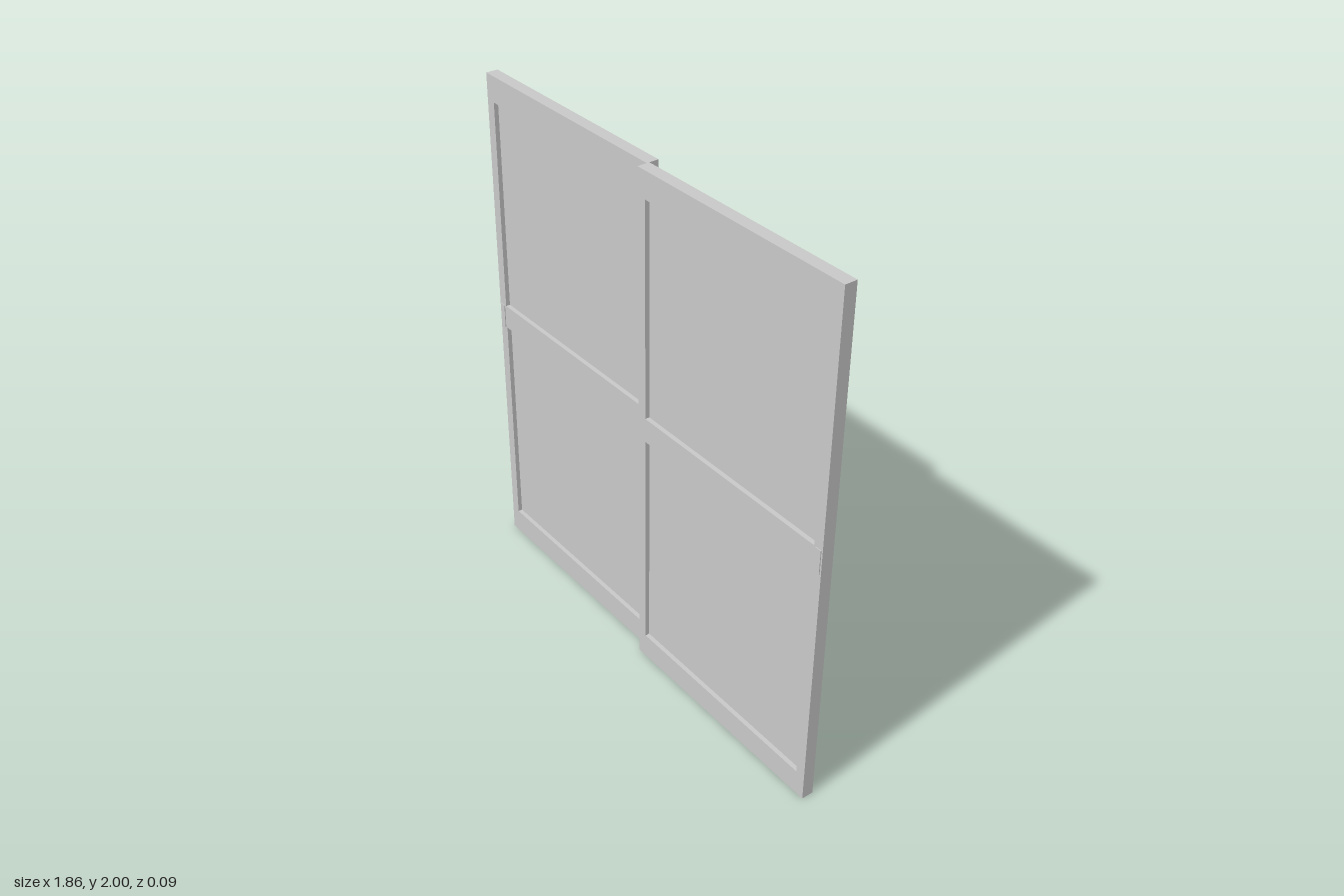
import * as THREE from 'three';

const WIDTH = 0.928, HEIGHT = 2, DEPTH = 0.046;
const STILE = 0.039;               // width of the upright frame members
const OPENINGS = [[0.1, 0.988], [1.083, 1.902]];   // bottom and top of each pane
const CENTER_Z = 0.018;            // each leaf runs on its own track

export function createModel() {
  const grey = new THREE.MeshStandardMaterial({ color: 0xc8c8c8 });
  grey.name = 'light grey';

  function box(name, x0, x1, y0, y1, depth, z = 0) {
    const mesh = new THREE.Mesh(new THREE.BoxGeometry(x1 - x0, y1 - y0, depth), grey);
    mesh.position.set((x0 + x1) / 2, (y0 + y1) / 2, z);
    mesh.name = name;
    return mesh;
  }

  function rectangle(path, x0, x1, y0, y1) {
    path.moveTo(x0, y0);
    path.lineTo(x1, y0);
    path.lineTo(x1, y1);
    path.lineTo(x0, y1);
    path.closePath();
    return path;
  }

  function createLeaf(name) {
    const leaf = new THREE.Group();
    leaf.name = name;

    // Frame with two openings
    const shape = rectangle(new THREE.Shape(), 0, WIDTH, 0, HEIGHT);
    for (const [y0, y1] of OPENINGS) {
      shape.holes.push(rectangle(new THREE.Path(), STILE, WIDTH - STILE, y0, y1));
    }
    const geometry = new THREE.ExtrudeGeometry(shape, { depth: DEPTH, bevelEnabled: false });
    geometry.translate(0, 0, -DEPTH / 2);
    const frame = new THREE.Mesh(geometry, grey);
    frame.name = 'frame';
    leaf.add(frame);

    // Recessed panes
    for (const [y0, y1] of OPENINGS) {
      leaf.add(box('pane', STILE, WIDTH - STILE, y0, y1, 0.012));
    }

    // Slim pull plates on both faces of the outer stile
    for (const side of [-1, 1]) {
      leaf.add(box('pullPlate', 0.897, 0.922, 0.988, 1.083, 0.003, side * (DEPTH / 2 + 0.0015)));
    }
    return leaf;
  }

  // Two sliding leaves, the second turned half round about the centre
  const model = new THREE.Group();
  model.name = 'slidingWindow';
  const front = createLeaf('frontLeaf');
  front.position.z = CENTER_Z;
  const back = createLeaf('backLeaf');
  back.rotation.y = Math.PI;
  back.position.z = -CENTER_Z;
  model.add(front, back);
  return model;
}
